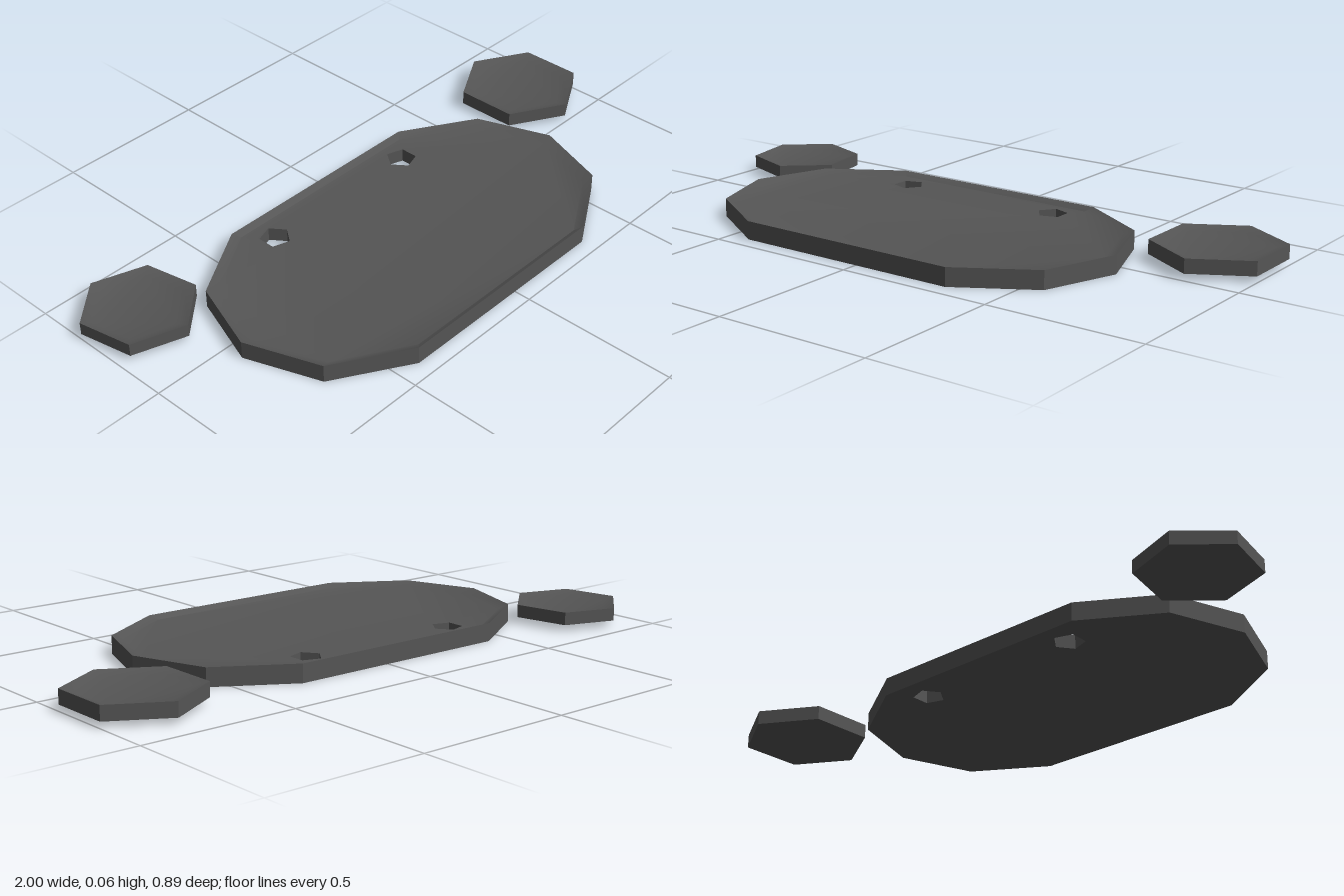
import * as THREE from 'three';
import { mergeGeometries, toCreasedNormals } from 'three/addons/utils/BufferGeometryUtils.js';

const material = new THREE.MeshStandardMaterial({ color: 0x555555 });

// Strip of quads joining two [x, z] loops at different heights
function band(a, ya, b, yb) {
  const pos = [];
  a.forEach((p, i) => {
    const j = (i + 1) % a.length;
    const A = [p[0], ya, p[1]], An = [a[j][0], ya, a[j][1]];
    const B = [b[i][0], yb, b[i][1]], Bn = [b[j][0], yb, b[j][1]];
    pos.push(...A, ...B, ...An, ...An, ...B, ...Bn);
  });
  const g = new THREE.BufferGeometry();
  g.setAttribute('position', new THREE.Float32BufferAttribute(pos, 3));
  g.computeVertexNormals();
  return g;
}

// Flat polygon with holes, facing up (dir 1) or down (dir -1)
function cap(loop, holes, y, dir) {
  const pts = (l) => l.map(([x, z]) => new THREE.Vector2(x, -dir * z));
  const shape = new THREE.Shape(pts(loop));
  holes.forEach((h) => shape.holes.push(new THREE.Path(pts(h))));
  const g = new THREE.ShapeGeometry(shape).toNonIndexed();
  g.deleteAttribute('uv');
  return g.rotateX(-dir * Math.PI / 2).translate(0, y, 0);
}

// Shallow tray: vertical wall, sloped inner lip, sunken floor, optional through holes
function tray(name, loop, [cx, cz], scale, y0, y1, depth, holes = []) {
  const inner = loop.map(([x, z]) => [cx + (x - cx) * scale, cz + (z - cz) * scale]);
  const floor = y1 - depth;
  const geometry = mergeGeometries([
    band(loop, y0, loop, y1),
    band(loop, y1, inner, floor),
    cap(inner, holes, floor, 1),
    cap(loop, holes, y0, -1),
    ...holes.map((h) => band(h, floor, h, y0)),
  ]);
  const mesh = new THREE.Mesh(toCreasedNormals(geometry, Math.PI / 6), material);
  mesh.name = name;
  return mesh;
}

// Regular polygon loop, running from +x towards +z
function polygon(n, cx, cz, r, start) {
  return Array.from({ length: n }, (_, i) => {
    const t = start + (i / n) * Math.PI * 2;
    return [cx + r * Math.cos(t), cz + r * Math.sin(t)];
  });
}

export function createModel() {
  const group = new THREE.Group();
  group.name = 'plateWithSidePads';

  // Main ten-sided plate, mirrored about its own centre line
  const cx = -0.05, cz = 0.063;
  const half = [[0.375, -0.383], [0.61, -0.24], [0.695, 0], [0.61, 0.24], [0.375, 0.383]];
  const outline = [...half, ...half.map(([x, z]) => [-x, z]).reverse()]
    .map(([x, z]) => [cx + x, cz + z]);
  const holes = [
    polygon(5, -0.333, -0.225, 0.049, 0),
    polygon(5, 0.233, -0.225, 0.049, Math.PI),
  ];
  group.add(tray('mainPlate', outline, [cx, cz], 0.947, 0, 0.058, 0.0135, holes));

  // Hexagonal pads beside the back corners
  const leftPad = polygon(6, 0.822, -0.212, 0.203, Math.PI / 6);
  group.add(tray('leftPad', leftPad, [0.822, -0.212], 0.8, 0.018, 0.063, 0.012));
  const rightPad = polygon(6, -0.832, -0.273, 0.178, 0.33);
  group.add(tray('rightPad', rightPad, [-0.832, -0.273], 0.8, 0.021, 0.062, 0.012));

  return group;
}
